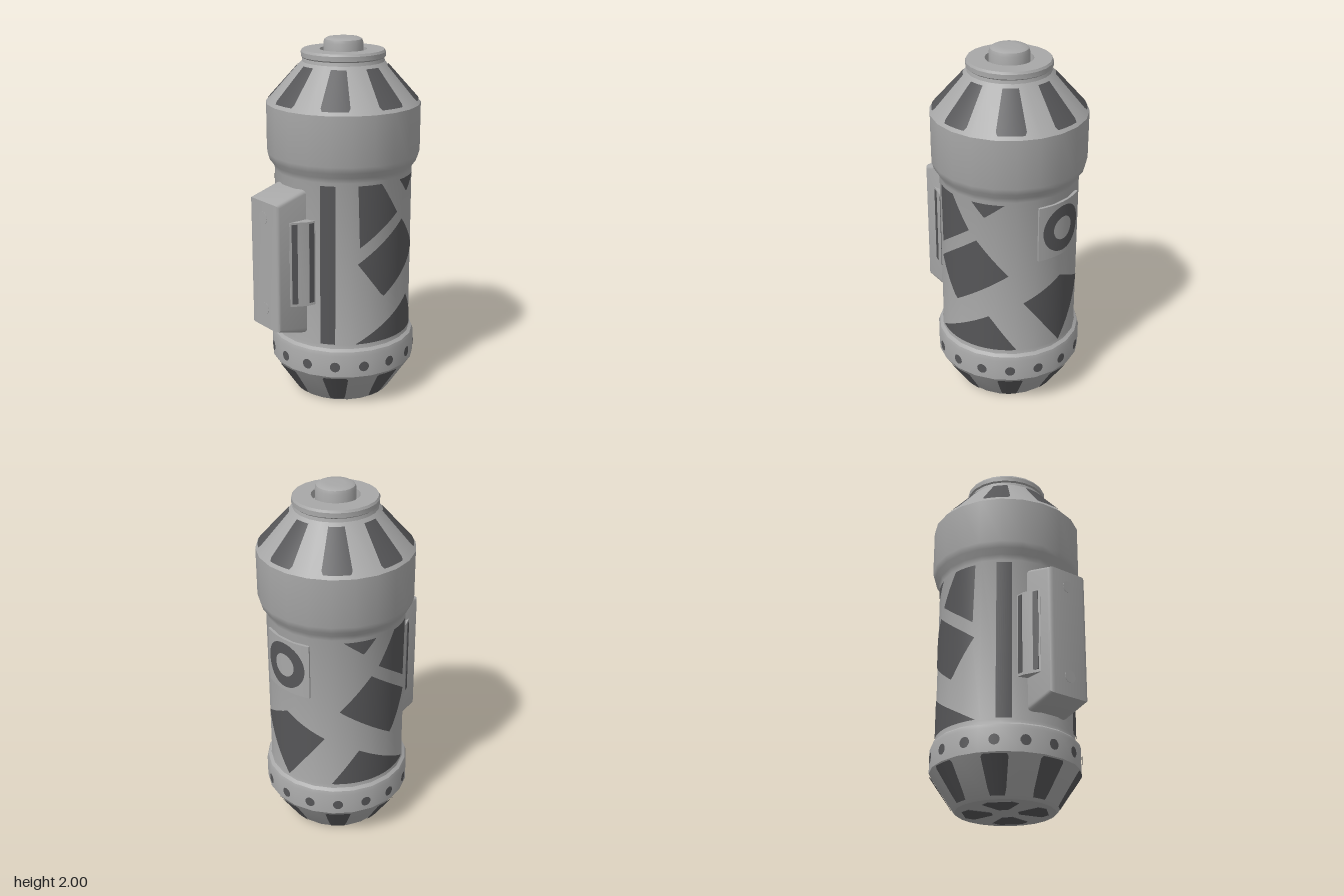
import * as THREE from 'three';
import { toCreasedNormals } from 'three/addons/utils/BufferGeometryUtils.js';

const SIDES = 22;
const AXIS_Z = -0.065; // the canister axis sits behind the origin
const BODY_R = 0.376;

export function createModel() {
  const model = new THREE.Group();
  model.name = 'canister';
  const shell = new THREE.MeshStandardMaterial({ color: 0xa8a8a8 });
  shell.name = 'light grey shell';
  const dark = new THREE.MeshStandardMaterial({ color: 0x565658 });
  dark.name = 'dark grey paint';

  const drum = new THREE.Group();
  drum.name = 'drum';
  drum.position.z = AXIS_Z;
  model.add(drum);

  const add = (parent, name, geometry, material) => {
    const mesh = new THREE.Mesh(geometry, material);
    mesh.name = name;
    parent.add(mesh);
    return mesh;
  };

  const turned = (points) => toCreasedNormals(new THREE.LatheGeometry(
    points.map(([r, y]) => new THREE.Vector2(r, y)), SIDES, Math.PI / 2), 0.5);

  // Upright prism from a plan outline of [x, z] points
  const prism = (outline, y0, y1) => {
    const shape = new THREE.Shape(outline.map(([x, z]) => new THREE.Vector2(x, z)));
    const geo = new THREE.ExtrudeGeometry(shape, { depth: y1 - y0, bevelEnabled: false });
    return toCreasedNormals(geo.rotateX(Math.PI / 2).translate(0, y1, 0), 0.5);
  };

  // Curved skin over a convex outline of [angle, y]; radius(y) gives the surface
  const skin = (outline, radius, steps = 16) => {
    const angles = outline.map((p) => p[0]);
    const lo = Math.min(...angles), hi = Math.max(...angles);
    const pos = [], index = [];
    for (let i = 0; i <= steps; i++) {
      const a = lo + (hi - lo) * (0.001 + 0.998 * i / steps);
      const ys = [];
      outline.forEach((p, k) => {
        const q = outline[(k + 1) % outline.length];
        if ((p[0] <= a) !== (q[0] <= a)) ys.push(p[1] + (q[1] - p[1]) * (a - p[0]) / (q[0] - p[0]));
      });
      for (const y of [Math.min(...ys), Math.max(...ys)]) {
        pos.push(Math.sin(a) * radius(y), y, Math.cos(a) * radius(y));
      }
      const b = i * 2;
      if (i < steps) index.push(b, b + 2, b + 3, b, b + 3, b + 1);
    }
    const geo = new THREE.BufferGeometry();
    geo.setAttribute('position', new THREE.Float32BufferAttribute(pos, 3));
    geo.setIndex(index);
    geo.computeVertexNormals();
    return geo;
  };

  // Shell: base cone, lower band, barrel, upper band, shoulder cone, collar and well
  add(drum, 'shell', turned([
    [0, 0.003], [0.265, 0.003], [0.275, 0.012], [0.404, 0.206], [0.404, 0.33], [0.397, 0.352],
    [0.38, 0.365], [BODY_R, 0.385], [BODY_R, 1.295], [0.385, 1.325], [0.408, 1.355], [0.418, 1.39],
    [0.418, 1.656], [0.222, 1.875], [0.218, 1.893], [0.227, 1.9], [0.227, 1.925], [0.22, 1.937],
    [0.127, 1.937], [0.122, 1.895], [0.09, 1.895],
  ]), shell);

  // Top button
  add(drum, 'topButton', turned([
    [0.106, 1.89], [0.106, 1.972], [0.1, 1.99], [0.085, 1.998], [0.05, 2], [0, 2],
  ]), shell);

  // Painted panels around the shoulder and base cones, and under the base
  const shoulderR = (y) => 0.422 - (y - 1.656) * 0.895;
  const baseR = (y) => 0.271 + y * 0.665;
  for (let i = 0; i < 8; i++) {
    const a = i * Math.PI / 4;
    add(drum, 'shoulderPanel', skin([
      [a - 0.17, 1.675], [a + 0.17, 1.675], [a + 0.195, 1.69],
      [a + 0.18, 1.86], [a - 0.18, 1.86], [a - 0.195, 1.69]], shoulderR), dark);
    add(drum, 'basePanel', skin([
      [a - 0.15, 0.017], [a + 0.15, 0.017], [a + 0.178, 0.185],
      [a + 0.165, 0.197], [a - 0.165, 0.197], [a - 0.178, 0.185]], baseR), dark);
    if (i % 2) {
      add(drum, 'undersidePanel',
        prism([[-0.025, 0.07], [0.025, 0.07], [0.095, 0.18], [0.06, 0.22], [-0.06, 0.22], [-0.095, 0.18]],
          0, 0.004), dark).rotation.y = a;
    }
  }

  // Round spots on the lower band
  for (let i = 0; i < 16; i++) {
    const spot = [];
    for (let k = 0; k < 14; k++) {
      const t = (k + 0.5) * Math.PI / 7;
      spot.push([i * Math.PI / 8 + Math.cos(t) * 0.07, 0.268 + Math.sin(t) * 0.029]);
    }
    add(drum, 'bandSpot', skin(spot, () => 0.407, 8), dark);
  }

  // Camouflage patches and front stripes on the barrel, the same on both sides
  const paintR = () => BODY_R + 0.003;
  const patches = [
    [[0.106, 1.28], [-0.021, 1.28], [-0.132, 1.106], [0.1, 0.937]],
    [[0.106, 0.85], [-0.175, 1.058], [-0.323, 0.862], [-0.037, 0.646]],
    [[-0.15, 1.28], [-0.307, 1.28], [-0.217, 1.2]],
    [[0.116, 0.39], [-0.238, 0.603], [-0.354, 0.39]],
    [[0.253, 1.28], [0.253, 0.39], [0.202, 0.39], [0.202, 1.28]],
  ];
  for (const side of [1, -1]) {
    patches.forEach((patch, i) => {
      const outline = patch.map(([z, y]) => [side * Math.acos((z - AXIS_Z) / BODY_R), y]);
      add(drum, i < 4 ? 'camouflagePatch' : 'frontStripe', skin(outline, paintR, 24), dark);
    });
  }
  add(drum, 'backPatch', skin([
    [Math.PI - 0.6, 0.69], [Math.PI, 0.805], [Math.PI + 0.6, 0.69], [Math.PI, 0.385]], paintR, 24), dark);

  // Curved plate on the back with a painted ring
  const arc = (r, from, to) => Array.from({ length: 11 }, (_, i) => {
    const a = Math.PI + from + (to - from) * i / 10;
    return [Math.sin(a) * r, Math.cos(a) * r];
  });
  add(drum, 'backPlate', prism([...arc(0.388, -0.4, 0.4), ...arc(0.355, 0.4, -0.4)], 0.94, 1.25), shell);
  const ring = new THREE.RingGeometry(0.066, 0.132, 40, 3);
  const p = ring.attributes.position;
  for (let i = 0; i < p.count; i++) {
    const a = Math.PI + p.getX(i) / 0.392;
    p.setXYZ(i, Math.sin(a) * 0.392, p.getY(i) + 1.098, Math.cos(a) * 0.392);
  }
  ring.computeVertexNormals();
  add(drum, 'backRing', ring, dark);

  // Front housing: side profile in [z, y], bevelled across its width
  const profile = [[0.2, 1.243], [0.3, 1.243], [0.476, 1.19], [0.476, 0.48], [0.3, 0.434], [0.2, 0.434]];
  const housing = new THREE.ExtrudeGeometry(
    new THREE.Shape(profile.map(([z, y]) => new THREE.Vector2(z, y))),
    { depth: 0.195, bevelThickness: 0.026, bevelSize: 0.02, bevelOffset: -0.02, bevelSegments: 3 });
  housing.rotateY(-Math.PI / 2).translate(0.0975, 0, 0);
  add(model, 'frontHousing', toCreasedNormals(housing, 0.6), shell);

  // Flush rivets on the housing
  for (const y of [1.1, 0.59]) {
    const rivet = new THREE.CylinderGeometry(0.034, 0.034, 0.006, 16).rotateX(Math.PI / 2);
    add(model, 'housingRivet', rivet, shell).position.set(0, y, 0.475);
  }

  // Wedge-shaped side grips with two dark strips each
  for (const s of [1, -1]) {
    const flip = (points) => points.map(([x, z]) => [x * s, z]);
    add(model, 'sideGrip', prism(
      flip([[0.1, 0.24], [0.175, 0.26], [0.17, 0.31], [0.125, 0.397], [0.1, 0.397]]), 0.614, 1.085), shell);
    add(model, 'gripStripFront', prism(
      flip([[0.13, 0.387], [0.134, 0.389], [0.148, 0.362], [0.144, 0.36]]), 0.63, 1.075), dark);
    add(model, 'gripStripRear', prism(
      flip([[0.17, 0.303], [0.174, 0.303], [0.177, 0.274], [0.172, 0.274]]), 0.63, 1.075), dark);
  }

  return model;
}
